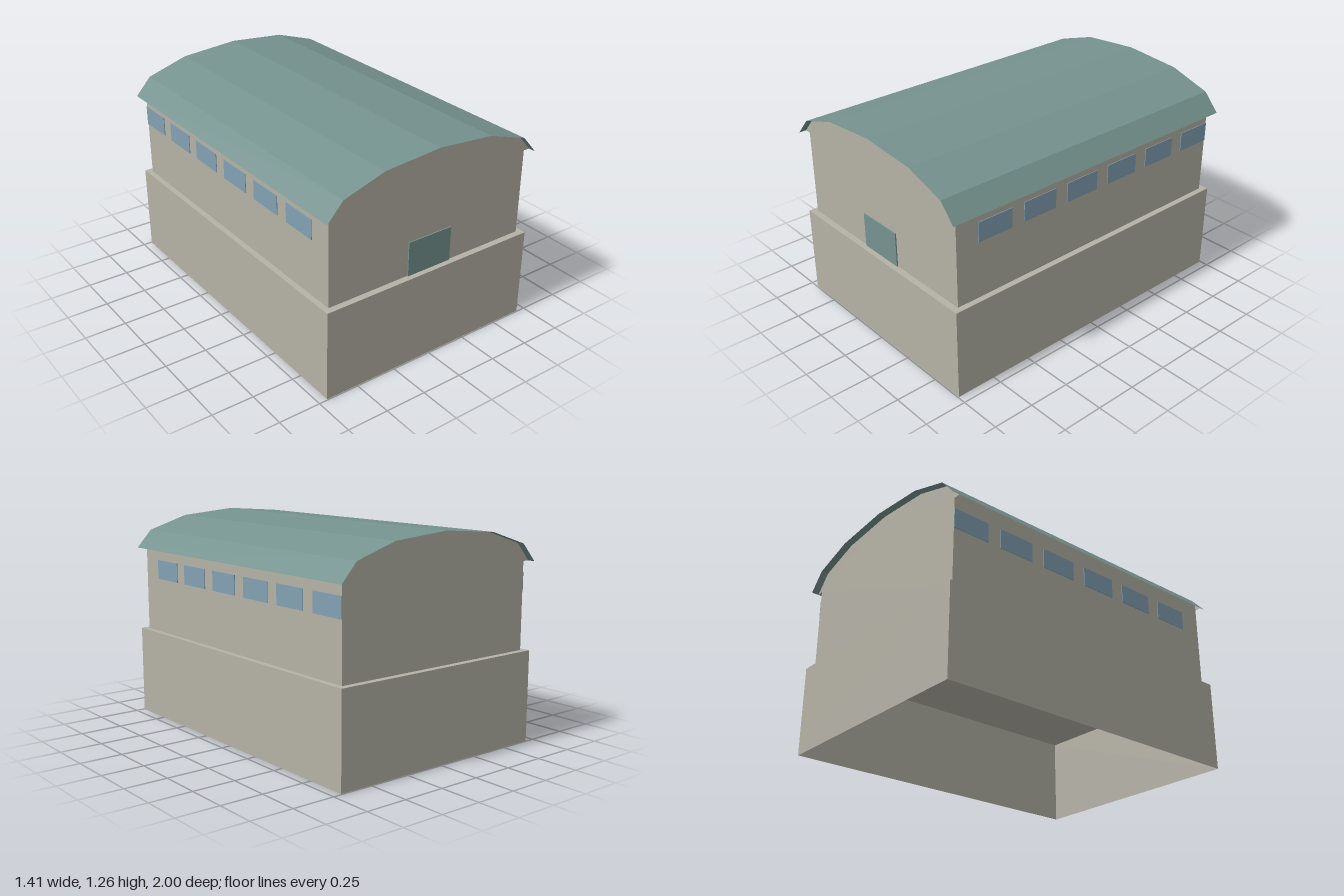
import * as THREE from 'three';

const BASE = { x: 0.697, y: 0.538, z: 0.994 };
const HALL = { x: 0.663, z: 0.956 };
const EAVE_Y = 1.05;
// Roof cross-section from the left eave to the right eave
const half = [[0.704, EAVE_Y], [0.608, 1.156], [0.355, 1.236]];
const profile = [...half, [0, 1.265], ...half.map(([x, y]) => [-x, y]).reverse()];

export function createModel() {
  const stone = new THREE.MeshStandardMaterial({ color: 0xb5b2a6, side: THREE.DoubleSide });
  stone.name = 'stone';
  const green = new THREE.MeshStandardMaterial({ color: 0x76938f, side: THREE.DoubleSide });
  green.name = 'greenMetal';
  const glass = new THREE.MeshStandardMaterial({ color: 0x82a1b3 });
  glass.name = 'blueGlass';

  const model = new THREE.Group();
  model.name = 'hall';
  const add = (name, geometry, material, x = 0, y = 0, z = 0, turn = 0) => {
    const mesh = new THREE.Mesh(geometry, material);
    mesh.name = name;
    mesh.position.set(x, y, z);
    mesh.rotation.y = turn;
    model.add(mesh);
    return mesh;
  };

  // Hollow base: a box with its bottom face (indices 18 to 23) left out
  const base = new THREE.BoxGeometry(BASE.x * 2, BASE.y, BASE.z * 2);
  const faces = Array.from(base.index.array);
  faces.splice(18, 6);
  base.setIndex(faces);
  base.clearGroups();
  add('base', base, stone, 0, BASE.y / 2);

  // Gable walls follow the roof line out to the eaves
  const outline = [
    [-HALL.x, BASE.y], [HALL.x, BASE.y], [HALL.x, EAVE_Y],
    ...profile, [-HALL.x, EAVE_Y],
  ].map(([x, y]) => new THREE.Vector2(x, y));
  const gable = new THREE.ShapeGeometry(new THREE.Shape(outline));
  add('frontGable', gable, stone, 0, 0, HALL.z);
  add('backGable', gable, stone, 0, 0, -HALL.z, Math.PI);

  // Side walls reach up to the underside of the roof
  const [[x0, y0], [x1, y1]] = profile;
  const wallTop = y0 + ((x0 - HALL.x) / (x0 - x1)) * (y1 - y0);
  const wall = new THREE.PlaneGeometry(HALL.z * 2, wallTop - BASE.y);
  const pane = new THREE.BoxGeometry(0.006, 0.116, 0.225);
  for (const [side, s] of [['left', 1], ['right', -1]]) {
    add(side + 'Wall', wall, stone, s * HALL.x, (wallTop + BASE.y) / 2, 0, s * Math.PI / 2);
    // Row of high windows, the last one touching the back corner
    for (let i = 0; i < 6; i++) {
      add(side + 'Window' + (i + 1), pane, glass, s * (HALL.x + 0.001), 0.928, 0.702 - i * 0.309);
    }
  }

  // Thin faceted roof sheet, one flat strip per profile segment
  const points = [];
  for (let i = 0; i < profile.length - 1; i++) {
    const [ax, ay] = profile[i];
    const [bx, by] = profile[i + 1];
    points.push(ax, ay, 1, ax, ay, -1, bx, by, -1);
    points.push(ax, ay, 1, bx, by, -1, bx, by, 1);
  }
  const roof = new THREE.BufferGeometry();
  roof.setAttribute('position', new THREE.Float32BufferAttribute(points, 3));
  roof.computeVertexNormals();
  add('roof', roof, green);

  // Door plate on the front gable
  add('door', new THREE.BoxGeometry(0.292, 0.206, 0.008), green, 0, BASE.y + 0.103, HALL.z + 0.003);

  return model;
}
